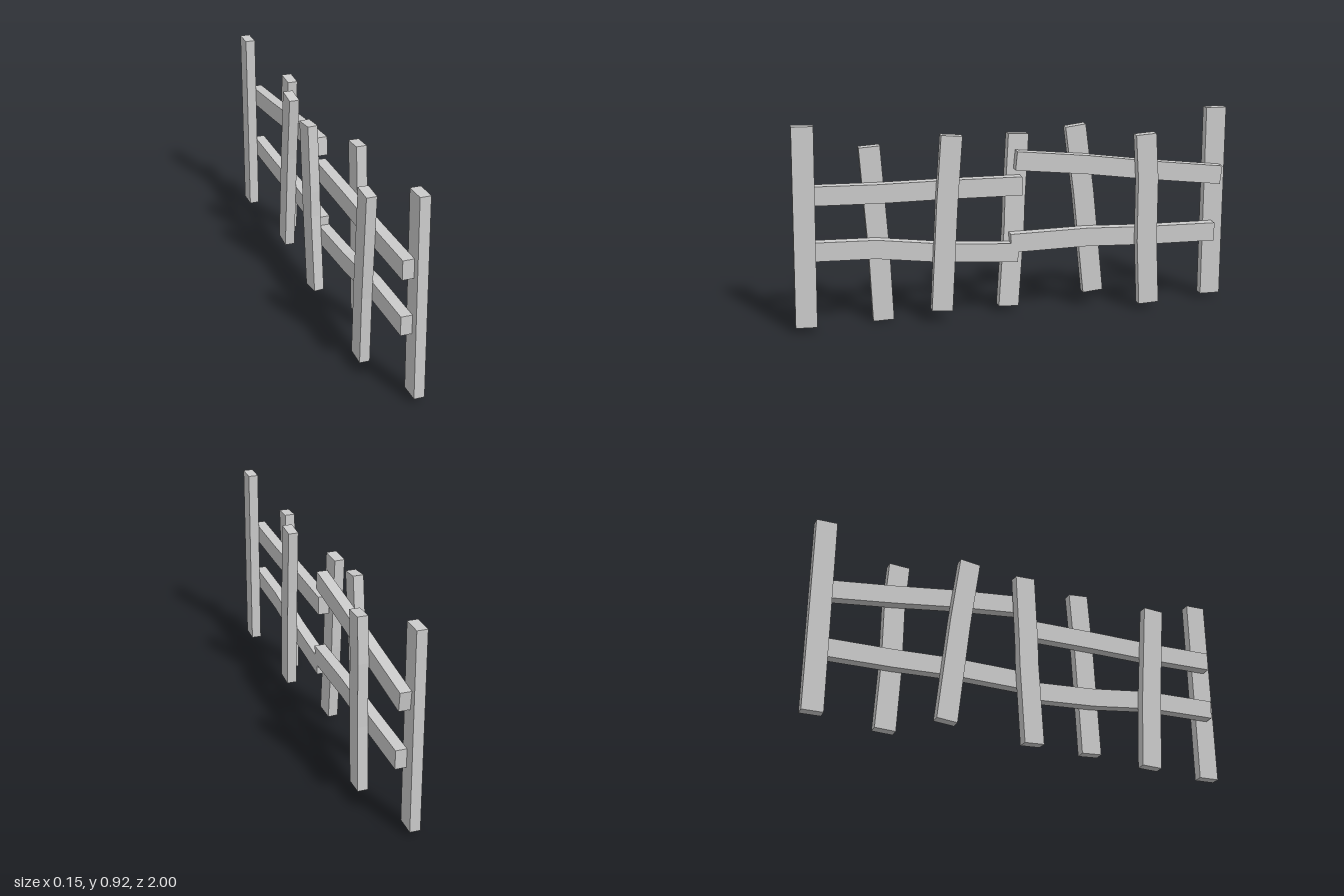
import * as THREE from 'three';

const material = new THREE.MeshStandardMaterial({ color: 0xcccccc, flatShading: true });

// Bent plank: follows [z, y] points, with square-cut ends and mitred bends
function plank(name, path, width, thickness, x) {
  const pts = path.map(([z, y]) => new THREE.Vector2(z, y));
  const sideA = [], sideB = [];
  pts.forEach((p, i) => {
    const before = pts[Math.max(i - 1, 0)];
    const after = pts[Math.min(i + 1, pts.length - 1)];
    const dir = after.clone().sub(before).normalize();
    const offset = new THREE.Vector2(-dir.y, dir.x).multiplyScalar(width / 2);
    sideA.push(p.clone().add(offset));
    sideB.unshift(p.clone().sub(offset));
  });
  const geometry = new THREE.ExtrudeGeometry(new THREE.Shape([...sideA, ...sideB]), {
    depth: thickness, bevelEnabled: false,
  });
  geometry.translate(0, 0, -thickness / 2);
  geometry.rotateY(-Math.PI / 2); // shape x runs along z, depth along x
  const mesh = new THREE.Mesh(geometry, material);
  mesh.name = name;
  mesh.position.x = x;
  return mesh;
}

export function createModel() {
  const fence = new THREE.Group();
  fence.name = 'fence';

  // Upright posts, alternating between the two faces of the rails
  const LEFT = 0.053, RIGHT = -0.042;
  const posts = [
    ['frontEndPost', LEFT, [[0.95, 0.025], [0.934, 0.917]]],
    ['picket1', RIGHT, [[0.601, 0.003], [0.613, 0.32], [0.645, 0.80]]],
    ['picket2', LEFT, [[0.348, 0.06], [0.32, 0.55], [0.296, 0.852]]],
    ['middlePost', RIGHT, [[0.027, 0.03], [0, 0.4], [-0.004, 0.52], [-0.022, 0.83]]],
    ['picket3', RIGHT, [[-0.375, 0.075], [-0.325, 0.55], [-0.284, 0.858]]],
    ['picket4', LEFT, [[-0.617, 0.03], [-0.602, 0.33], [-0.601, 0.62], [-0.587, 0.823]]],
    ['backEndPost', RIGHT, [[-0.953, 0.025], [-0.951, 0.917]]],
  ];
  for (const [name, x, path] of posts) fence.add(plank(name, path, 0.094, 0.046, x));

  // The middle post is slightly twisted and leans outwards
  const middle = fence.getObjectByName('middlePost');
  middle.rotation.set(0, 0.07, 0.01);

  // Four sagging rails, overlapping at the middle post
  const rails = [
    ['upperFrontRail', [[0.955, 0.603], [0.62, 0.599], [0.33, 0.603], [-0.027, 0.603]]],
    ['lowerFrontRail', [[0.955, 0.353], [0.63, 0.349], [0.34, 0.315], [-0.01, 0.295]]],
    ['upperBackRail', [[-0.001, 0.718], [-0.32, 0.687], [-0.62, 0.648], [-0.968, 0.609]]],
    ['lowerBackRail', [[0.024, 0.34], [-0.33, 0.349], [-0.61, 0.341], [-0.945, 0.34]]],
  ];
  for (const [name, path] of rails) fence.add(plank(name, path, 0.085, 0.049, 0.005));

  return fence;
}
